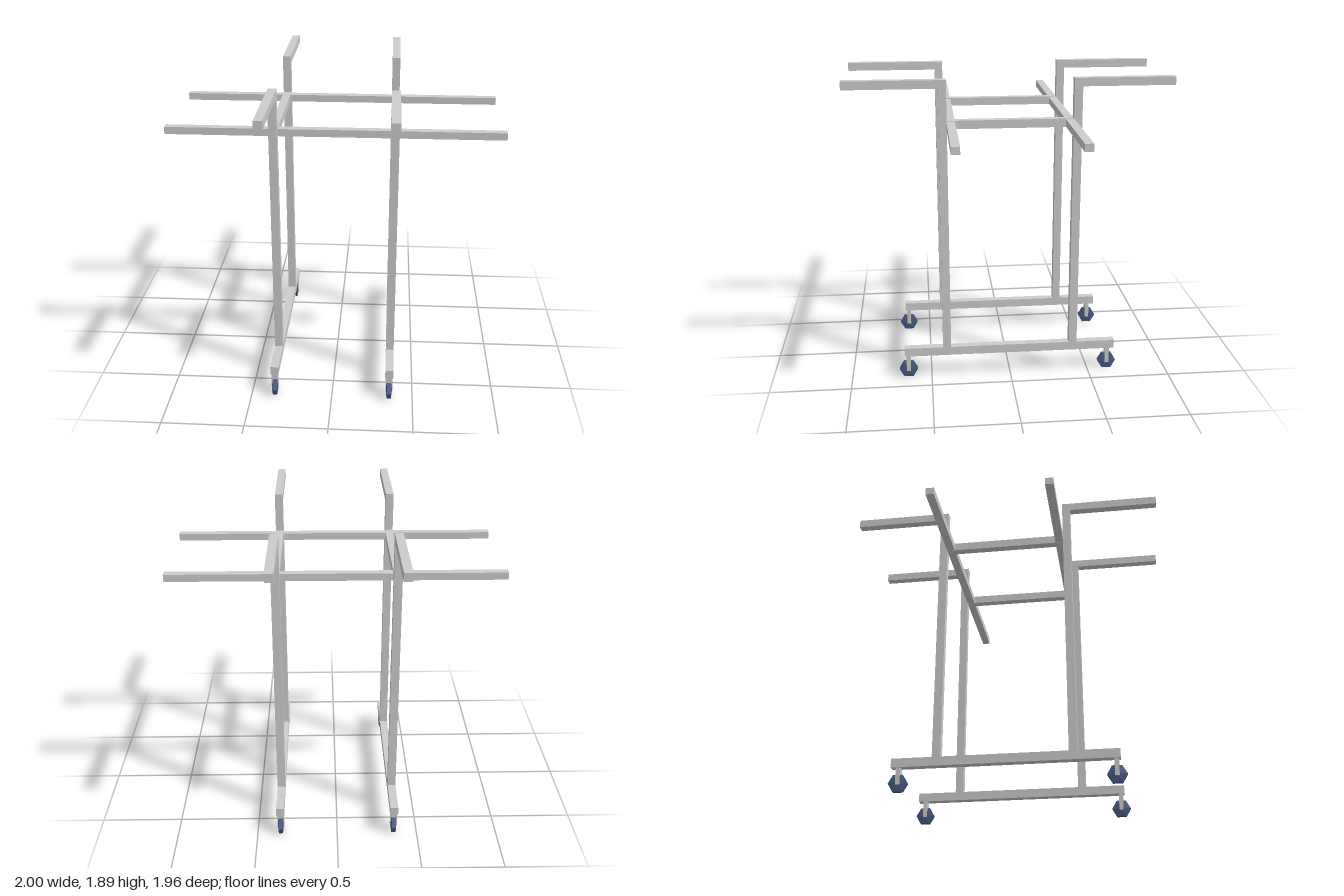
import * as THREE from 'three';

const grey = new THREE.MeshStandardMaterial({ color: 0xcccccc });
const blue = new THREE.MeshStandardMaterial({ color: 0x4a5a85, flatShading: true });

const T = 0.05; // square tube size
const X = 0.355; // side frame position
const POST = 0.375; // inner face of the posts

function box(parent, name, w, h, d, x, y, z) {
  const mesh = new THREE.Mesh(new THREE.BoxGeometry(w, h, d), grey);
  mesh.name = name;
  mesh.position.set(x, y, z);
  parent.add(mesh);
  return mesh;
}

// L-shaped post with its arm reaching outwards, drawn as (z, y) and extruded across x
function postGeometry() {
  const shape = new THREE.Shape([
    [POST, 0.195], [POST + T, 0.195], [POST + T, 1.838],
    [0.978, 1.838], [0.978, 1.888], [POST, 1.888],
  ].map(([z, y]) => new THREE.Vector2(z, y)));
  const geo = new THREE.ExtrudeGeometry(shape, { depth: T, bevelEnabled: false });
  geo.translate(0, 0, -T / 2);
  geo.rotateY(-Math.PI / 2);
  return geo;
}

// Six-sided wheel with a slightly thicker hub, turning about x
function wheelGeometry() {
  const profile = [[0, -0.018], [0.02, -0.018], [0.058, -0.013], [0.058, 0.013], [0.02, 0.018], [0, 0.018]]
    .map(([r, y]) => new THREE.Vector2(r, y));
  const geo = new THREE.LatheGeometry(profile, 6);
  geo.rotateZ(Math.PI / 2);
  return geo;
}

function caster() {
  const group = new THREE.Group();
  group.name = 'caster';
  const wheel = new THREE.Mesh(wheelGeometry(), blue);
  wheel.name = 'wheel';
  wheel.position.y = 0.051;
  group.add(wheel);
  box(group, 'forkCrown', 0.042, 0.042, 0.027, 0, 0.125, 0);
  for (const s of [-1, 1]) box(group, 'forkLeg', 0.004, 0.07, 0.026, s * 0.019, 0.076, 0);
  return group;
}

export function createModel() {
  const model = new THREE.Group();
  model.name = 'garmentRack';
  const postGeo = postGeometry();

  for (const sx of [-1, 1]) {
    // Side frame: base bar, top connecting rail, two posts and two casters
    const frame = new THREE.Group();
    frame.name = sx > 0 ? 'leftFrame' : 'rightFrame';
    frame.position.x = sx * X;
    model.add(frame);
    box(frame, 'baseBar', T, 0.054, 1.336, 0, 0.171, 0);
    box(frame, 'sideRail', T, T, 2 * POST, 0, 1.624, 0);
    for (const front of [true, false]) {
      const post = new THREE.Mesh(postGeo, grey);
      post.name = front ? 'frontPost' : 'backPost';
      if (!front) post.rotation.y = Math.PI;
      frame.add(post);
      const wheel = caster();
      wheel.position.z = front ? 0.645 : -0.625;
      frame.add(wheel);
    }
  }

  // Long hanging rails just inside the posts
  for (const sz of [-1, 1]) {
    box(model, sz > 0 ? 'frontHangingRail' : 'backHangingRail', 2, 0.044, T, 0, 1.623, sz * 0.352);
  }
  return model;
}
